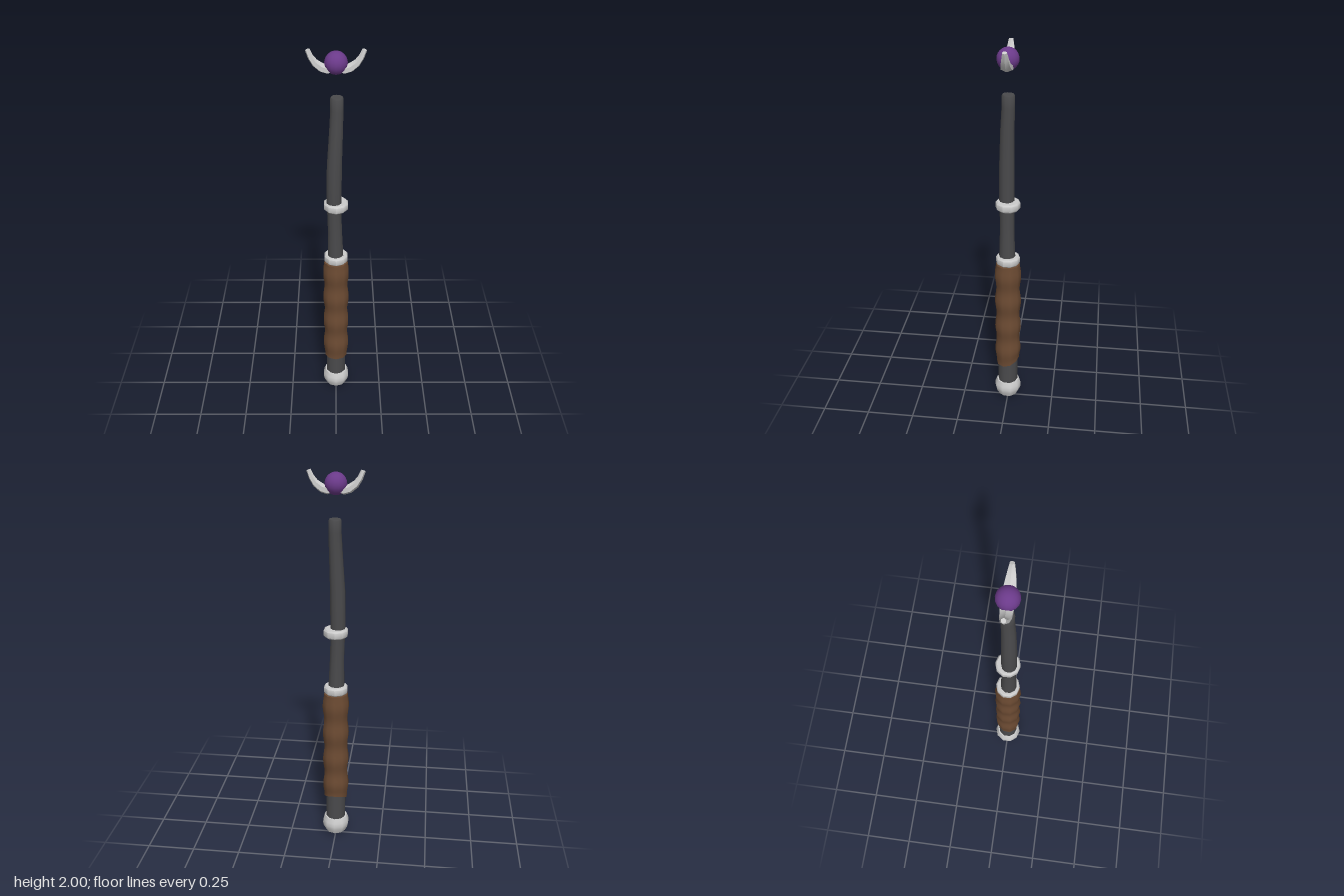
import * as THREE from 'three';
import { toCreasedNormals } from 'three/addons/utils/BufferGeometryUtils.js';

const V = (x, y, z) => new THREE.Vector3(x, y, z);
const paint = (color) => new THREE.MeshStandardMaterial({ color });

// One polygonal cross-section spanned by the half-axes u and v.
function ring(center, u, v, sides) {
  return Array.from({ length: sides }, (_, i) => {
    const a = (i / sides) * Math.PI * 2;
    return center.clone().addScaledVector(u, Math.cos(a)).addScaledVector(v, Math.sin(a));
  });
}

// Skin a list of rings and close both ends with fans.
function loft(rings, crease) {
  const n = rings[0].length, pos = [];
  const tri = (...pts) => pts.forEach((p) => pos.push(p.x, p.y, p.z));
  for (let i = 0; i < rings.length - 1; i++) {
    for (let j = 0; j < n; j++) {
      const k = (j + 1) % n;
      tri(rings[i][j], rings[i][k], rings[i + 1][k]);
      tri(rings[i][j], rings[i + 1][k], rings[i + 1][j]);
    }
  }
  const mid = (r) => r.reduce((s, p) => s.add(p), V(0, 0, 0)).divideScalar(n);
  const first = rings[0], last = rings[rings.length - 1];
  for (let j = 0; j < n; j++) {
    const k = (j + 1) % n;
    tri(mid(first), first[k], first[j]);
    tri(mid(last), last[j], last[k]);
  }
  const g = new THREE.BufferGeometry();
  g.setAttribute('position', new THREE.Float32BufferAttribute(pos, 3));
  return toCreasedNormals(g, crease);
}

export function createModel() {
  const group = new THREE.Group();
  const wood = paint(0x4a4a4c), leather = paint(0x6b4a32), metal = paint(0xcccccc), purple = paint(0x6b3a8a);
  const add = (name, geometry, material, parent = group) => {
    const mesh = new THREE.Mesh(geometry, material);
    mesh.name = name;
    parent.add(mesh);
    return mesh;
  };
  const sides = 10;
  const column = (rows) => loft(rows.map(([x, y, z, r]) => ring(V(x, y, z), V(0, 0, r), V(r, 0, 0), sides)), 0.8);

  // Slightly crooked shaft with a shallow pointed foot: x, y, z, radius
  add('shaft', column([
    [0, 0, 0, 0.004], [0, 0.03, 0, 0.053], [0, 0.25, 0, 0.053], [0, 0.6, 0, 0.05],
    [-0.002, 0.88, 0.004, 0.043], [-0.005, 1.05, 0.005, 0.037], [-0.009, 1.18, 0.006, 0.037],
    [-0.01, 1.24, 0.007, 0.039], [-0.008, 1.42, 0.006, 0.038], [0, 1.6, 0.003, 0.034],
    [0.004, 1.71, -0.002, 0.032], [0.004, 1.765, -0.002, 0.032], [0.004, 1.772, -0.002, 0.028],
  ]), wood);

  // Rippled leather grip whose lower edge rises towards the back
  const gripRows = 33, low = 0.235, high = 0.865;
  const gripRings = Array.from({ length: gripRows }, (_, i) => {
    const t = i / (gripRows - 1), y = low + (high - low) * t;
    const r = 0.066 + 0.004 * Math.cos((t * 4 - 0.55) * Math.PI * 2);
    const points = ring(V(0, y, 0), V(0, 0, r), V(r, 0, 0), sides);
    points.forEach((p) => { p.y += 0.035 * Math.pow(1 - t, 6) * Math.max(0, -p.z / r); });
    return points;
  });
  add('grip', loft(gripRings, 0.8), leather);

  // Metal bands above the grip and halfway up the shaft
  for (const [name, y] of [['gripBand', 0.868], ['shaftBand', 1.18]]) {
    add(name, column([
      [0, y, 0, 0.054], [0, y + 0.008, 0, 0.062], [0, y + 0.036, 0, 0.062], [0, y + 0.043, 0, 0.055],
    ]), metal);
  }

  // Rounded pommel
  add('pommel', column([
    [0, 0.026, 0, 0.055], [0, 0.055, 0, 0.069], [0, 0.075, 0, 0.073], [0, 0.095, 0, 0.07], [0, 0.118, 0, 0.061],
  ]), metal);

  // Floating head: a gem between two upswept horns
  const head = new THREE.Group();
  head.name = 'floatingHead';
  group.add(head);
  const gem = add('gem', new THREE.SphereGeometry(0.053, 16, 12), purple, head);
  gem.position.set(0, 1.936, 0);

  // Horn stations: outer x, outer y, inner x, inner y, half width
  const stations = [
    [0.012, 1.893, 0.012, 1.93, 0.028], [0.04, 1.885, 0.035, 1.928, 0.028], [0.073, 1.895, 0.058, 1.934, 0.026],
    [0.104, 1.921, 0.085, 1.951, 0.021], [0.124, 1.955, 0.103, 1.973, 0.016], [0.137, 1.992, 0.116, 2.0, 0.01],
  ];
  const horn = loft(stations.map(([ox, oy, ix, iy, w]) => ring(
    V((ox + ix) / 2, (oy + iy) / 2, 0), V((ix - ox) / 2, (iy - oy) / 2, 0), V(0, 0, w / 0.866), 6)), 0.6);
  add('leftHorn', horn, metal, head);
  add('rightHorn', horn, metal, head).rotation.y = Math.PI;

  return group;
}
